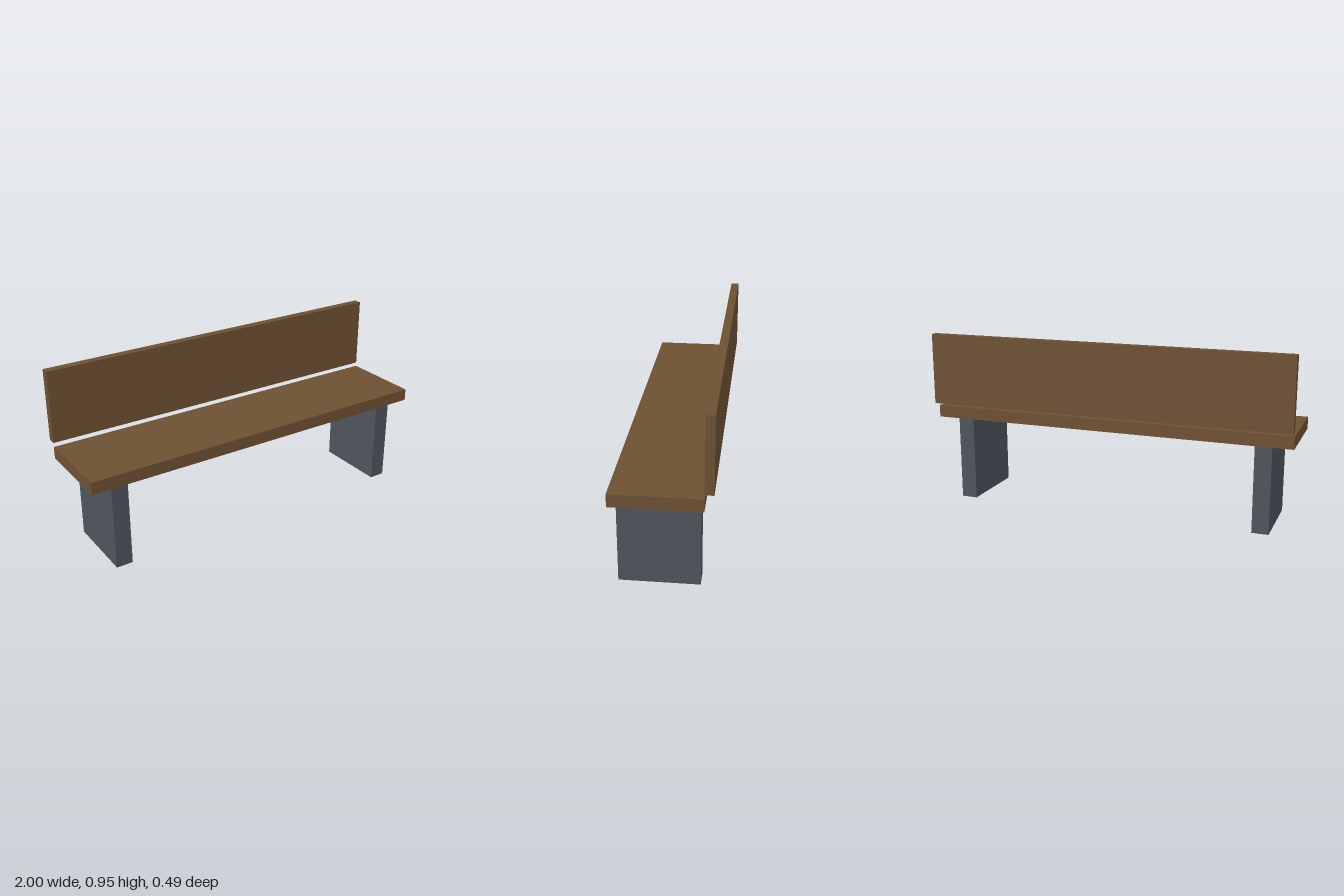
import * as THREE from 'three';

export function createModel() {
  const wood = new THREE.MeshStandardMaterial({ color: 0x6e5033 });
  wood.name = 'brown wood';
  const stone = new THREE.MeshStandardMaterial({ color: 0x4f545c });
  stone.name = 'grey concrete';

  const bench = new THREE.Group();
  bench.name = 'bench';

  // Box spanning a minimum and a maximum corner
  const addBox = (name, min, max, material) => {
    const size = max.map((v, i) => v - min[i]);
    const mesh = new THREE.Mesh(new THREE.BoxGeometry(...size), material);
    mesh.position.set(...max.map((v, i) => (v + min[i]) / 2));
    mesh.name = name;
    bench.add(mesh);
  };

  // Plank seat and the backrest behind it
  addBox('seat', [-1, 0.469, -0.2], [1, 0.535, 0.244], wood);
  addBox('backrest', [-1, 0.557, -0.244], [1, 0.946, -0.2], wood);

  // Slab legs, set in from each end
  addBox('leftLeg', [0.8, 0, -0.178], [0.889, 0.469, 0.222], stone);
  addBox('rightLeg', [-0.889, 0, -0.178], [-0.8, 0.469, 0.222], stone);

  return bench;
}
